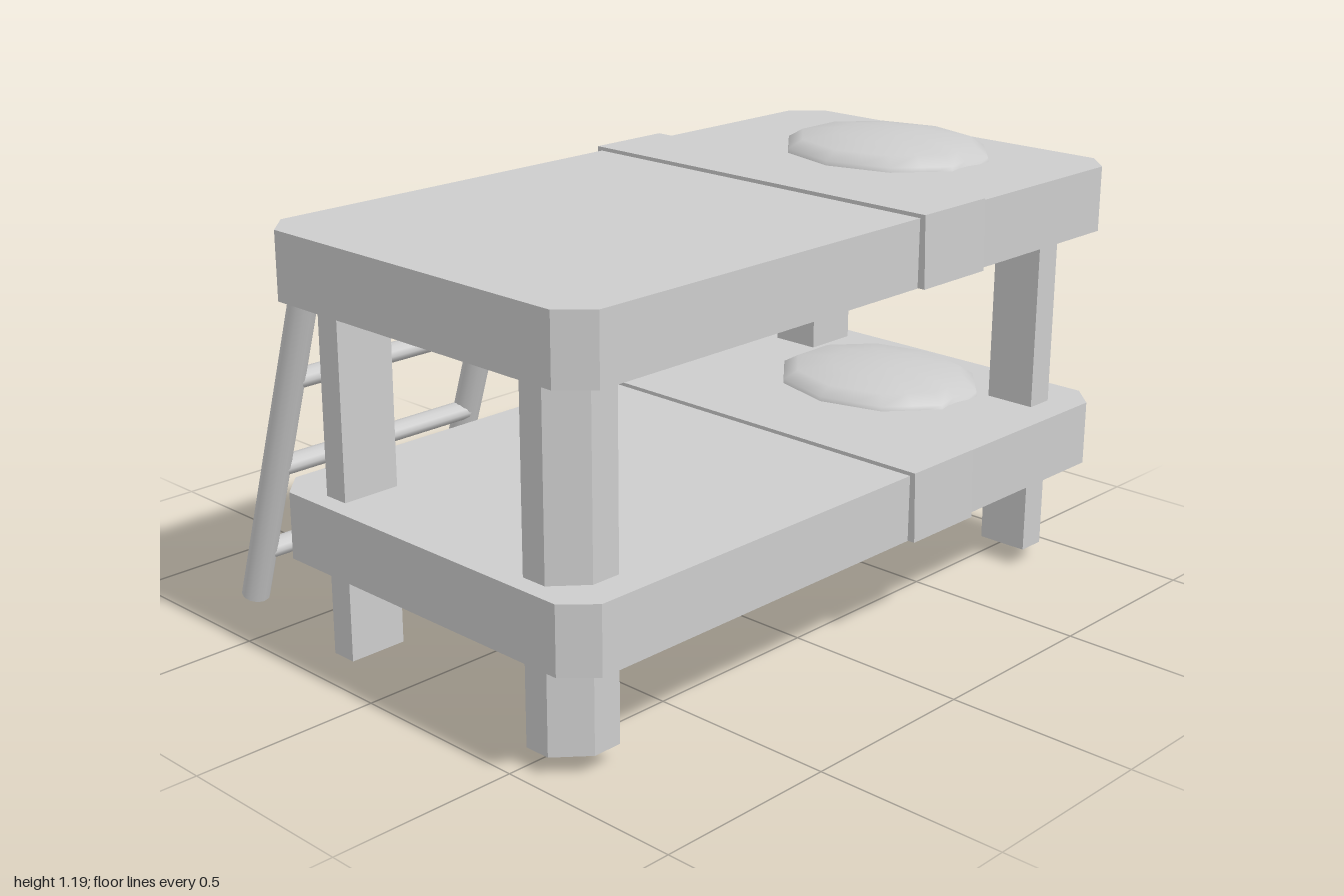
import * as THREE from 'three';

const CX = 0.187; // centre line of the beds

export function createModel() {
  const model = new THREE.Group();
  model.name = 'bunkBed';
  const grey = new THREE.MeshStandardMaterial({ color: 0xcccccc, side: THREE.DoubleSide });
  grey.name = 'light grey';

  const add = (name, geometry, parent = model) => {
    const mesh = new THREE.Mesh(geometry, grey);
    mesh.name = name;
    parent.add(mesh);
    return mesh;
  };
  const shapeOf = pts => new THREE.Shape(pts.map(p => new THREE.Vector2(...p)));

  // Mattress slab with clipped corners
  const w = 0.545, l = 1, c = 0.072;
  const slab = new THREE.ExtrudeGeometry(shapeOf([
    [-w, -l + c], [-w + c, -l], [w - c, -l], [w, -l + c],
    [w, l - c], [w - c, l], [-w + c, l], [-w, l - c],
  ]), { depth: 0.175, bevelEnabled: false }).rotateX(-Math.PI / 2);

  // Folded blanket band, slightly flared at the bottom
  const band = new THREE.ExtrudeGeometry(shapeOf([
    [-0.566, 0.001], [0.566, 0.001], [0.56, 0.185], [-0.56, 0.185],
  ]), { depth: 0.24, bevelEnabled: false }).translate(0, 0, -0.385);

  const pillow = pillowGeometry();

  for (const [name, y] of [['lowerBed', 0.295], ['upperBed', 0.955]]) {
    const bed = new THREE.Group();
    bed.name = name;
    bed.position.set(CX, y, 0);
    model.add(bed);
    add('mattress', slab, bed);
    add('blanketBand', band, bed);
    add('pillow', pillow, bed).position.set(0.013, 0.175, -0.685);
  }

  // Four hollow posts, clipped on their outer corner
  for (const sx of [-1, 1]) {
    for (const sz of [-1, 1]) {
      add((sz > 0 ? 'front' : 'back') + (sx > 0 ? 'Left' : 'Right') + 'Post', postGeometry(sx, sz))
        .position.set(CX, 0.525, 0);
    }
  }

  // Leaning ladder
  const ladder = new THREE.Group();
  ladder.name = 'ladder';
  model.add(ladder);
  const foot = new THREE.Vector2(-0.713, 0.012), head = new THREE.Vector2(-0.38, 1.042);
  const run = head.clone().sub(foot), middle = foot.clone().add(head).multiplyScalar(0.5);
  for (const z of [0.173, 0.825]) {
    const rail = add('ladderRail', new THREE.CylinderGeometry(0.038, 0.038, run.length(), 12), ladder);
    rail.position.set(middle.x, middle.y, z);
    rail.rotation.z = -Math.atan2(run.x, run.y);
  }
  const rung = new THREE.CylinderGeometry(0.025, 0.025, 0.64, 12).rotateX(Math.PI / 2).scale(1.45, 1, 1);
  for (let i = 0; i < 4; i++) {
    const y = 0.15 + i * 0.258;
    add('ladderRung', rung, ladder)
      .position.set(foot.x + run.x * (y - foot.y) / run.y, y, 0.499);
  }
  return model;
}

// Five-sided open tube placed in one corner of the bed
function postGeometry(sx, sz) {
  const outline = [[0.317, 0.79], [0.317, 0.95], [0.388, 0.95], [0.458, 0.87], [0.458, 0.79]];
  outline.splice(1, 2, [0.317, 0.95], [0.388, 0.95]);
  const g = new THREE.CylinderGeometry(1, 1, 0.95, 5, 1, true);
  const p = g.attributes.position;
  for (let i = 0; i < p.count; i++) {
    const [x, z] = outline[(i % 6) % 5];
    p.setX(i, x * sx);
    p.setZ(i, z * sz);
  }
  const flat = g.toNonIndexed();
  flat.computeVertexNormals();
  return flat;
}

// Ten-sided low dome with a small dent at its left end
function pillowGeometry() {
  const rings = [[1, -0.01], [0.99, 0.012], [0.85, 0.036], [0.5, 0.051], [0.25, 0.058], [0, 0.06]];
  const n = 20, pos = [], index = [];
  rings.forEach(([r, y], k) => {
    for (let i = 0; i < n; i++) {
      const a = i * Math.PI * 2 / n;
      // even steps fall on the middle of a side
      let s = r * (i % 2 ? 1 : Math.cos(Math.PI / 10));
      if (i === 0 && k === 1) s -= 0.06;
      pos.push(Math.cos(a) * 0.3 * s, y, Math.sin(a) * 0.257 * s);
      if (k) {
        const j = (i + 1) % n, lo = (k - 1) * n, hi = k * n;
        index.push(lo + i, hi + i, lo + j);
        if (k < rings.length - 1) index.push(lo + j, hi + i, hi + j);
      }
    }
  });
  const g = new THREE.BufferGeometry();
  g.setAttribute('position', new THREE.Float32BufferAttribute(pos, 3));
  g.setIndex(index);
  g.computeVertexNormals();
  // all tip vertices share the upward normal
  for (let i = 0; i < n; i++) g.attributes.normal.setXYZ((rings.length - 1) * n + i, 0, 1, 0);
  return g;
}
